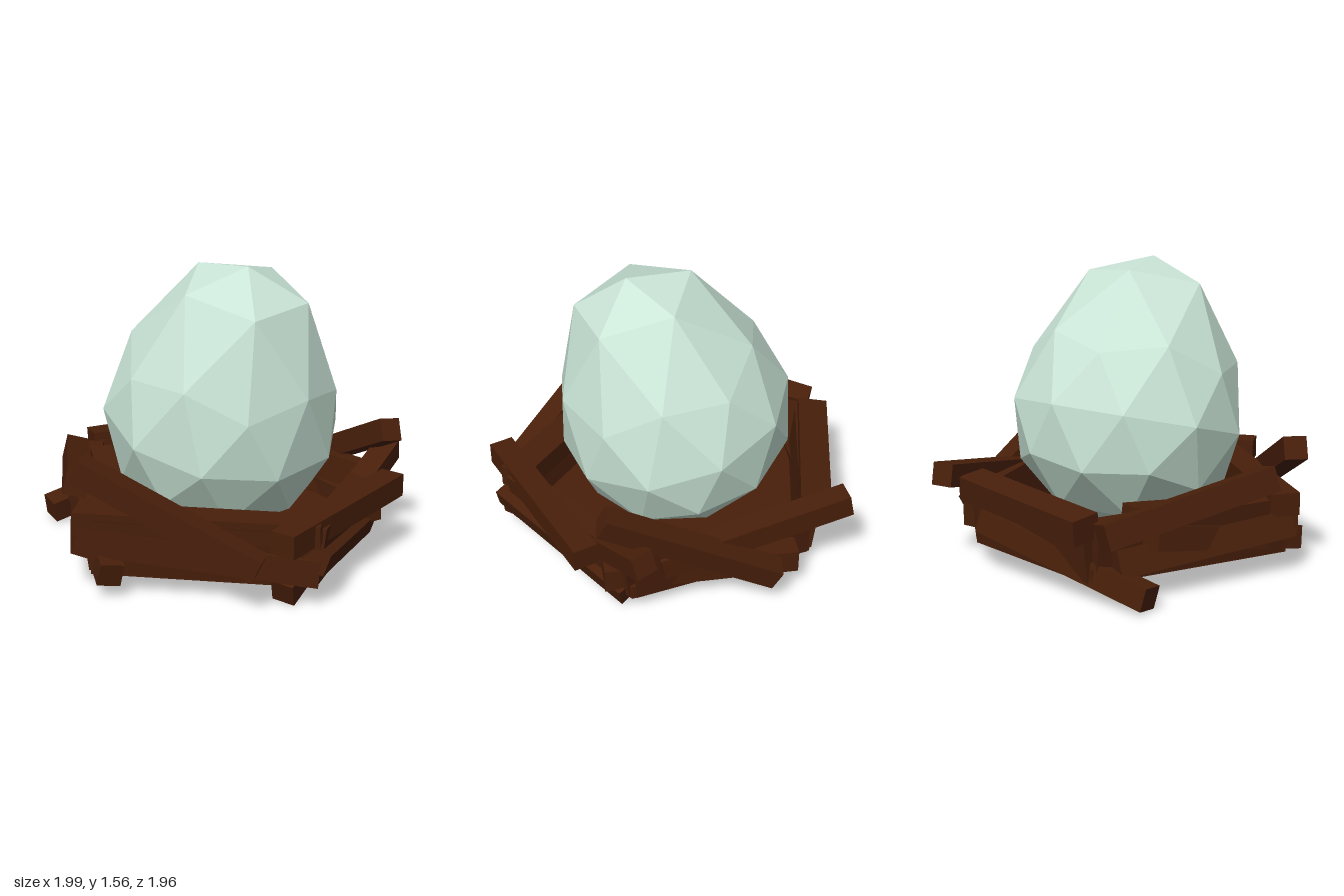
import * as THREE from 'three';

export function createModel() {
  const shell = new THREE.MeshStandardMaterial({ name: 'paleGreenShell', color: 0xcae5d7, flatShading: true });
  const wood = new THREE.MeshStandardMaterial({ name: 'darkWood', color: 0x481f0a, flatShading: true });
  const model = new THREE.Group();
  model.name = 'eggInNest';

  // Faceted egg: a sphere with a pole on top, stretched upwards, then tilted
  const eggGeo = new THREE.IcosahedronGeometry(1, 1);
  eggGeo.rotateZ(-Math.atan(2 / (1 + Math.sqrt(5))));
  const p = eggGeo.attributes.position;
  for (let i = 0; i < p.count; i++) {
    const u = p.getY(i);
    const h = u > 0 ? 0.87 * u * u * (2.2 - 1.2 * u) : 0.6 * u;
    p.setXYZ(i, p.getX(i) * 0.625, h, p.getZ(i) * 0.625);
  }
  eggGeo.computeVertexNormals();
  const egg = new THREE.Mesh(eggGeo, shell);
  egg.name = 'egg';
  egg.position.set(0.035, 0.735, 0.078);
  egg.quaternion.setFromUnitVectors(new THREE.Vector3(0, 1, 0), new THREE.Vector3(0.19, 1, 0.22).normalize());
  model.add(egg);

  const nest = new THREE.Group();
  nest.name = 'nest';
  model.add(nest);

  // A squared stick running from a to b, rolled about its length by lean
  function stick(name, a, b, w = 0.12, h = 0.12, lean = 0) {
    const start = new THREE.Vector3(...a), end = new THREE.Vector3(...b);
    const mesh = new THREE.Mesh(new THREE.BoxGeometry(w, h, start.distanceTo(end)), wood);
    mesh.name = name;
    mesh.position.copy(start).add(end).multiplyScalar(0.5);
    mesh.lookAt(end);
    mesh.rotateZ(lean);
    nest.add(mesh);
  }

  // Five-sided floor
  const corners = [[0.02, -0.75], [0.82, -0.14], [0.6, 0.78], [-0.52, 0.78], [-0.76, -0.31]];
  const shape = new THREE.Shape(corners.map(([x, z]) => new THREE.Vector2(x, -z)));
  const floorGeo = new THREE.ExtrudeGeometry(shape, { depth: 0.08, bevelEnabled: false });
  floorGeo.rotateX(-Math.PI / 2);
  const floor = new THREE.Mesh(floorGeo, wood);
  floor.name = 'nestFloor';
  floor.position.y = 0.1;
  nest.add(floor);

  // Broad planks along each side of the floor, flaring outwards
  corners.forEach(([x, z], i) => {
    const [x2, z2] = corners[(i + 1) % 5];
    stick('wallPlank', [x * 0.96, 0.265, z * 0.96], [x2 * 0.96, 0.265, z2 * 0.96], 0.11, 0.3, -0.12);
  });

  // Loose sticks, upper layer
  stick('upperStick', [-0.57, 0.67, 0.8], [0.34, 0.25, 0.92]);
  stick('upperStick', [0.94, 0.39, 0.05], [0.45, 0.39, 0.95], 0.13, 0.12);
  stick('upperStick', [-0.85, 0.37, -0.28], [-0.61, 0.53, 0.66], 0.12, 0.13, -0.25);
  stick('upperStick', [0.92, 0.65, -0.04], [0.36, 0.2, -0.73], 0.12, 0.12, 0.15);
  stick('upperStick', [-0.03, 0.5, -0.93], [0.7, 0.3, -0.24]);
  stick('upperStick', [-0.77, 0.39, -0.34], [0.03, 0.42, -0.77], 0.16, 0.13, -0.1);
  stick('upperStick', [-0.6, 0.38, 0.74], [0.62, 0.38, 0.74], 0.16, 0.12);
  stick('upperStick', [-0.36, 0.3, 0.7], [-0.66, 0.4, -0.1], 0.12, 0.12);

  // Loose sticks, lower layer
  stick('lowerStick', [-0.95, 0.08, -0.07], [-0.15, 0.28, -0.73], 0.12, 0.12, 0.15);
  stick('lowerStick', [-0.4, 0.14, 0.87], [-0.79, 0.33, -0.02], 0.12, 0.12, 0.15);
  stick('lowerStick', [0.44, 0.07, 0.8], [0.91, 0.47, -0.28], 0.12, 0.12, 0.1);
  stick('lowerStick', [-0.58, 0.29, 0.76], [0.62, 0.19, 0.77], 0.12, 0.14);
  stick('lowerStick', [0.79, 0.11, -0.1], [0.6, 0.26, 0.82], 0.12, 0.11, -0.3);
  stick('lowerStick', [0.84, 0.21, 0.02], [0.18, 0.2, -0.75], 0.12, 0.13);
  stick('lowerStick', [-0.78, 0.2, -0.2], [-0.54, 0.26, 0.78], 0.12, 0.14, -0.35);

  return model;
}
